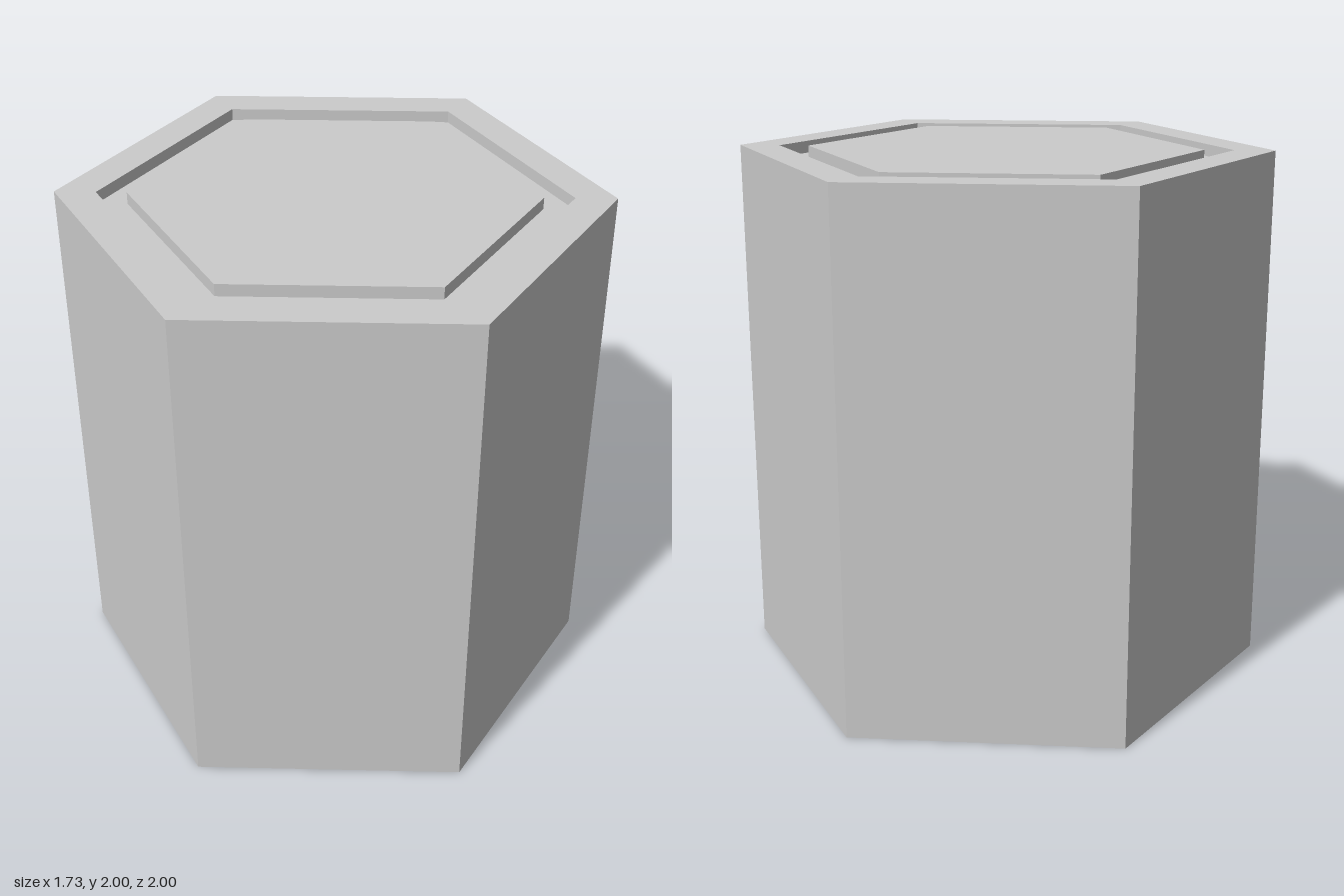
import * as THREE from 'three';

const HEIGHT = 2;
const GROOVE_DEPTH = 0.045;

export function createModel() {
  const group = new THREE.Group();
  group.name = 'hexagonalColumn';
  const material = new THREE.MeshStandardMaterial({ color: 0xcccccc, flatShading: true });

  // Six-sided turned profile: base, wall, rim, groove and raised centre panel
  const floor = HEIGHT - GROOVE_DEPTH;
  const profile = [
    [0, 0], [1, 0], [1, HEIGHT],
    [0.85, HEIGHT], [0.85, floor],
    [0.74, floor], [0.74, HEIGHT], [0, HEIGHT],
  ].map(([r, y]) => new THREE.Vector2(r, y));

  const column = new THREE.Mesh(new THREE.LatheGeometry(profile, 6), material);
  column.name = 'columnWithGroovedTop';
  group.add(column);
  return group;
}
